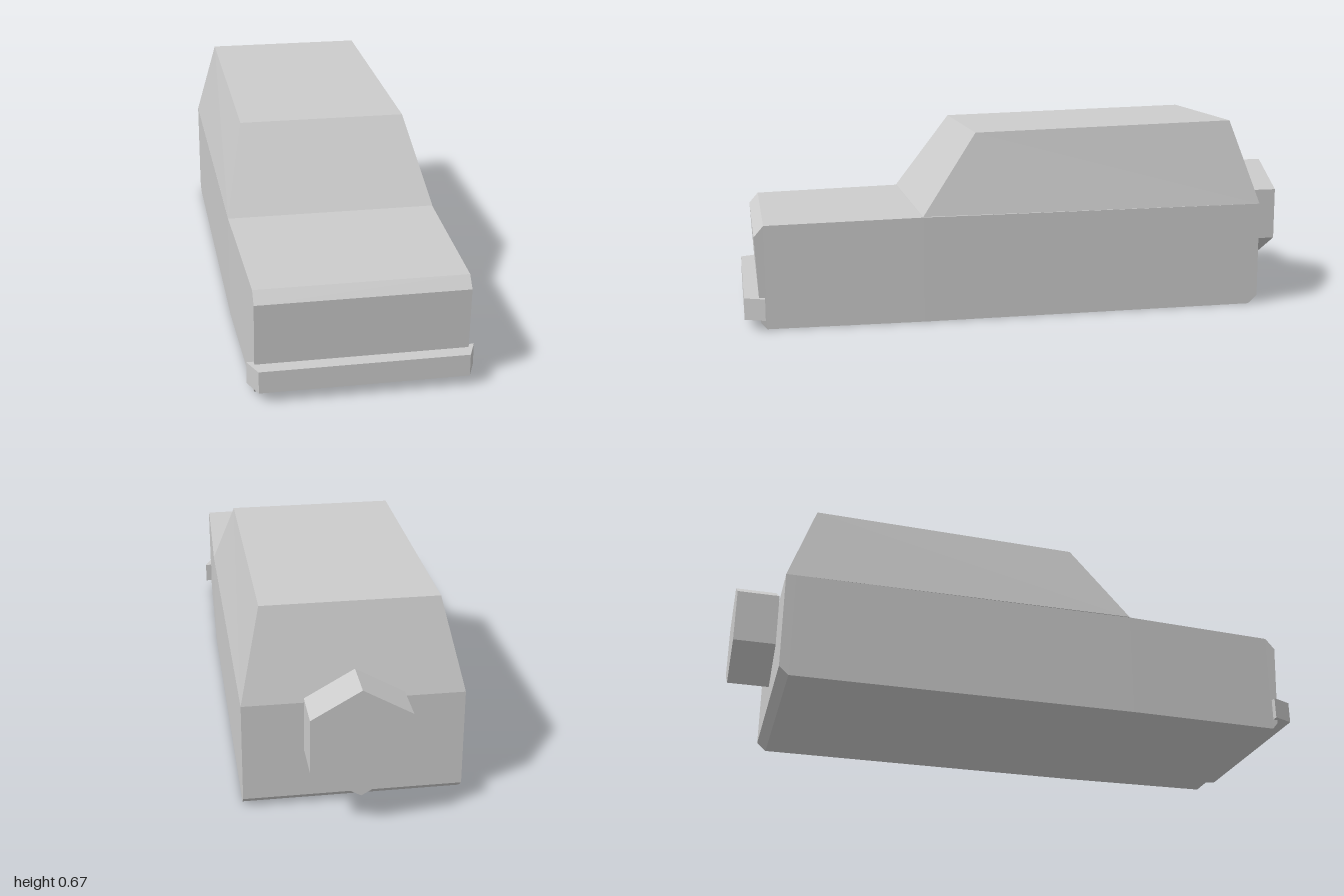
import * as THREE from 'three';

const material = new THREE.MeshStandardMaterial({ color: 0xcccccc, flatShading: true });

// Skin four-cornered sections, ordered back to front.
// Each section: bottom [z, y, halfWidth], top [z, y, halfWidth].
function loft(sections) {
  const rings = sections.map(([[zb, yb, wb], [zt, yt, wt]]) => [
    [-wb, yb, zb], [wb, yb, zb], [wb, yt, zt], [-wt, yt, zt],
  ].map((p, i) => (i === 2 ? [wt, yt, zt] : p)));
  const pos = [];
  const quad = (a, b, c, d) => pos.push(...a, ...b, ...c, ...a, ...c, ...d);
  for (let i = 0; i < rings.length - 1; i++) {
    for (let k = 0; k < 4; k++) {
      const n = (k + 1) % 4;
      quad(rings[i][k], rings[i][n], rings[i + 1][n], rings[i + 1][k]);
    }
  }
  const [a, b, c, d] = rings[0];
  quad(d, c, b, a);
  quad(...rings[rings.length - 1]);
  const geometry = new THREE.BufferGeometry();
  geometry.setAttribute('position', new THREE.Float32BufferAttribute(pos, 3));
  geometry.computeVertexNormals();
  return geometry;
}

export function createModel() {
  const group = new THREE.Group();
  const add = (name, geometry) => {
    const mesh = new THREE.Mesh(geometry, material);
    mesh.name = name;
    group.add(mesh);
    return mesh;
  };

  // Lower body with bevelled ends and a hood that narrows forward
  add('body', loft([
    [[-0.853, 0.03, 0.363], [-0.853, 0.372, 0.363]],
    [[-0.82, 0, 0.363], [-0.82, 0.372, 0.363]],
    [[0.385, 0, 0.363], [0.385, 0.37, 0.363]],
    [[0.925, 0, 0.347], [0.928, 0.36, 0.347]],
    [[0.945, 0.024, 0.347], [0.961, 0.322, 0.347]],
  ]));

  // Cabin with sloping windscreen, sides and tail
  add('cabin', loft([
    [[-0.853, 0.372, 0.363], [-0.755, 0.672, 0.292]],
    [[0.385, 0.372, 0.363], [0.187, 0.651, 0.292]],
  ]));

  // Front bumper with angled ends
  add('frontBumper', loft([
    [[0.93, 0.036, 0.37], [0.93, 0.111, 0.37]],
    [[1, 0.036, 0.34], [1, 0.111, 0.34]],
  ]));

  // Six-sided spare wheel on the tail
  const wheel = new THREE.CylinderGeometry(0.188, 0.188, 0.146, 6).rotateX(Math.PI / 2);
  add('spareWheel', wheel).position.set(0, 0.294, -0.927);

  return group;
}
